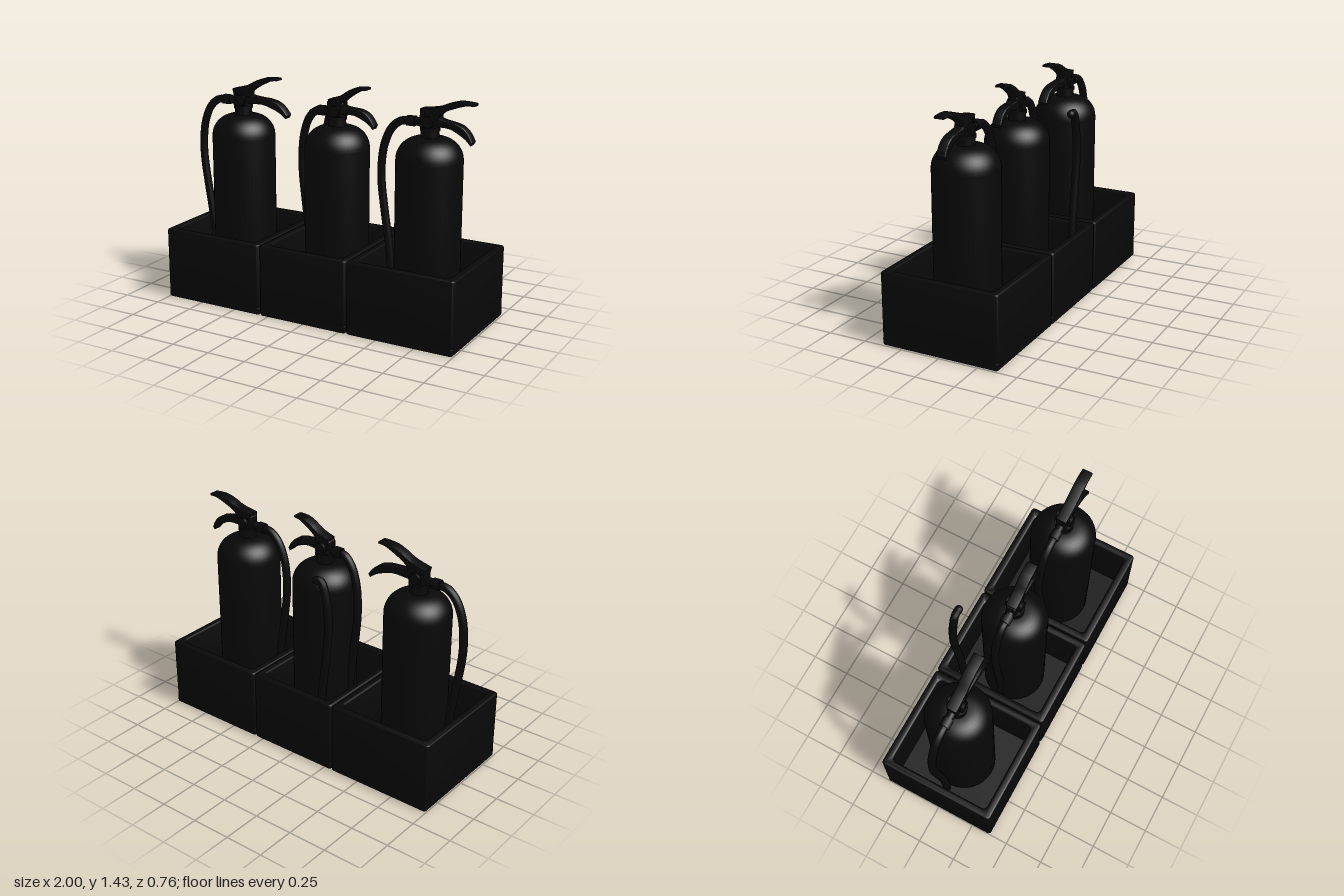
import * as THREE from 'three';
import { RoundedBoxGeometry } from 'three/addons/geometries/RoundedBoxGeometry.js';
import { toCreasedNormals } from 'three/addons/utils/BufferGeometryUtils.js';

const black = new THREE.MeshStandardMaterial({ color: 0x080808 });
const V2 = (p) => new THREE.Vector2(p[0], p[1]);

function add(parent, name, geometry, x = 0, y = 0, z = 0) {
  const mesh = new THREE.Mesh(geometry, black);
  mesh.name = name;
  mesh.position.set(x, y, z);
  parent.add(mesh);
  return mesh;
}

function roundedRect(path, w, d, r) {
  const x = w / 2, y = d / 2;
  path.moveTo(-x + r, -y).lineTo(x - r, -y);
  path.quadraticCurveTo(x, -y, x, -y + r).lineTo(x, y - r);
  path.quadraticCurveTo(x, y, x - r, y).lineTo(-x + r, y);
  path.quadraticCurveTo(-x, y, -x, y - r).lineTo(-x, -y + r);
  path.quadraticCurveTo(-x, -y, -x + r, -y);
  return path;
}

// Open-topped box with rounded rim and a solid floor
function storageBox(x0, x1) {
  const box = new THREE.Group();
  box.name = 'storageBox';
  const w = x1 - x0, d = 0.76, h = 0.46, b = 0.014;
  const outline = roundedRect(new THREE.Shape(), w, d, 0.025);
  outline.holes.push(roundedRect(new THREE.Path(), w - 0.1, d - 0.1, 0.03));
  const walls = new THREE.ExtrudeGeometry(outline, {
    depth: h - 0.02 - 2 * b, bevelThickness: b, bevelSize: b, bevelOffset: -b, bevelSegments: 4, curveSegments: 6,
  });
  walls.rotateX(-Math.PI / 2);
  add(box, 'boxWalls', toCreasedNormals(walls, 0.6), 0, 0.02 + b, 0);
  add(box, 'boxFloor', new RoundedBoxGeometry(w, 0.06, d, 4, 0.018), 0, 0.03, 0);
  box.position.x = (x0 + x1) / 2;
  return box;
}

// Curved lever plate, outlined by a smooth top and bottom edge
function lever(top, bottom, width) {
  const shape = new THREE.Shape();
  shape.moveTo(...top[0]);
  shape.splineThru(top.slice(1).map(V2));
  shape.lineTo(...bottom[0]);
  shape.splineThru(bottom.slice(1).map(V2));
  const b = 0.006;
  const g = new THREE.ExtrudeGeometry(shape, {
    depth: width - 2 * b, bevelThickness: b, bevelSize: b, bevelOffset: -b, bevelSegments: 3, curveSegments: 6,
  });
  g.translate(0, 0, b - width / 2);
  return toCreasedNormals(g, 0.7);
}

// Hose running from the valve over and down beside the cylinder
function hose(points, scale) {
  const curve = new THREE.CatmullRomCurve3(points.map(([x, y]) => new THREE.Vector3(x * scale, y, 0)));
  const tube = new THREE.Group();
  tube.name = 'hose';
  add(tube, 'hoseTube', new THREE.TubeGeometry(curve, 60, 0.025, 14));
  for (const t of [0, 1]) {
    const p = curve.getPoint(t);
    add(tube, 'hoseEnd', new THREE.SphereGeometry(0.025, 14, 10), p.x, p.y, 0);
  }
  return tube;
}

const hosePath = [[-0.13, 1.257], [-0.19, 1.25], [-0.25, 1.2], [-0.295, 1.1], [-0.313, 0.98], [-0.312, 0.86],
  [-0.287, 0.67], [-0.255, 0.46], [-0.235, 0.25], [-0.23, 0.1]];

function extinguisher(x, { reach = 1, lowerReach = 1, tilt = 0 }) {
  const unit = new THREE.Group();
  unit.name = 'extinguisher';
  unit.position.x = x;

  // Cylinder with domed shoulder
  const profile = [[0, 0.06], [0.18, 0.06], [0.194, 0.066], [0.2, 0.08], [0.2, 1.04]];
  for (let i = 1; i <= 10; i++) {
    const a = (i / 10) * Math.PI / 2;
    profile.push([0.06 + 0.14 * Math.cos(a), 1.04 + 0.135 * Math.sin(a)]);
  }
  profile.push([0, 1.175]);
  add(unit, 'cylinder', toCreasedNormals(new THREE.LatheGeometry(profile.map(V2), 48), 0.7));

  // Neck collar and valve
  add(unit, 'neck', new THREE.CylinderGeometry(0.054, 0.056, 0.07, 28), 0, 1.2, 0);
  add(unit, 'neckRing', new THREE.CylinderGeometry(0.06, 0.06, 0.02, 28), 0, 1.225, 0);
  add(unit, 'valveBody', new RoundedBoxGeometry(0.115, 0.1, 0.066, 3, 0.012), 0, 1.275, 0);
  const gauge = add(unit, 'gauge', new THREE.CylinderGeometry(0.034, 0.034, 0.104, 24), 0.005, 1.27, 0);
  gauge.rotation.x = Math.PI / 2;

  // Hose coupling
  const coupling = new THREE.CylinderGeometry(0.026, 0.026, 0.1, 20).rotateZ(Math.PI / 2);
  add(unit, 'hoseCoupling', coupling, -0.08, 1.258, 0);
  const nut = new THREE.CylinderGeometry(0.033, 0.033, 0.055, 6).rotateZ(Math.PI / 2);
  add(unit, 'hoseNut', nut, -0.12 * Math.max(reach, 0.85), 1.258, 0);
  unit.add(hose(hosePath, reach));

  // Squeeze lever above, carrying handle below
  const handles = new THREE.Group();
  handles.name = 'handles';
  handles.position.y = 1.27;
  handles.rotation.z = tilt;
  unit.add(handles);
  const upper = lever(
    [[-0.062, 0.066], [0.04, 0.093], [0.11, 0.128], [0.17, 0.15], [0.23, 0.156], [0.268, 0.156]],
    [[0.272, 0.142], [0.22, 0.135], [0.16, 0.11], [0.1, 0.078], [0.066, 0.05], [0.056, 0.02], [-0.05, 0.02]], 0.068);
  const lower = lever(
    [[0.02, 0.045], [0.1, 0.027], [0.21, 0.018], [0.27, 0], [0.312, -0.033], [0.34, -0.07]],
    [[0.328, -0.09], [0.29, -0.062], [0.24, -0.04], [0.16, -0.018], [0.06, -0.022], [0.02, -0.02]], 0.06);
  add(handles, 'squeezeLever', upper).scale.x = reach;
  add(handles, 'carryHandle', lower).scale.x = lowerReach;
  const pivot = add(handles, 'pivotPin', new THREE.CylinderGeometry(0.011, 0.011, 0.08, 14), -0.03, 0.04, 0);
  pivot.rotation.x = Math.PI / 2;
  return unit;
}

export function createModel() {
  const model = new THREE.Group();
  model.name = 'extinguisherStand';

  for (const [x0, x1] of [[-1, -0.307], [-0.303, 0.303], [0.307, 1]]) model.add(storageBox(x0, x1));

  model.add(extinguisher(-0.647, {}));
  const middle = extinguisher(0.035, { reach: 0.79, lowerReach: 0.78 });
  model.add(middle);
  model.add(extinguisher(0.655, { tilt: -0.1, lowerReach: 0.84 }));

  // Safety pin ring on the middle valve
  add(middle, 'pinRing', new THREE.TorusGeometry(0.012, 0.005, 8, 20), 0.045, 1.325, 0.01);

  // Spare hose standing behind the middle cylinder
  const spare = hose([[-0.2, 1.2], ...hosePath.slice(2)], 0.79);
  spare.name = 'spareHose';
  spare.position.set(0.035, 0, -0.285);
  model.add(spare);
  return model;
}
